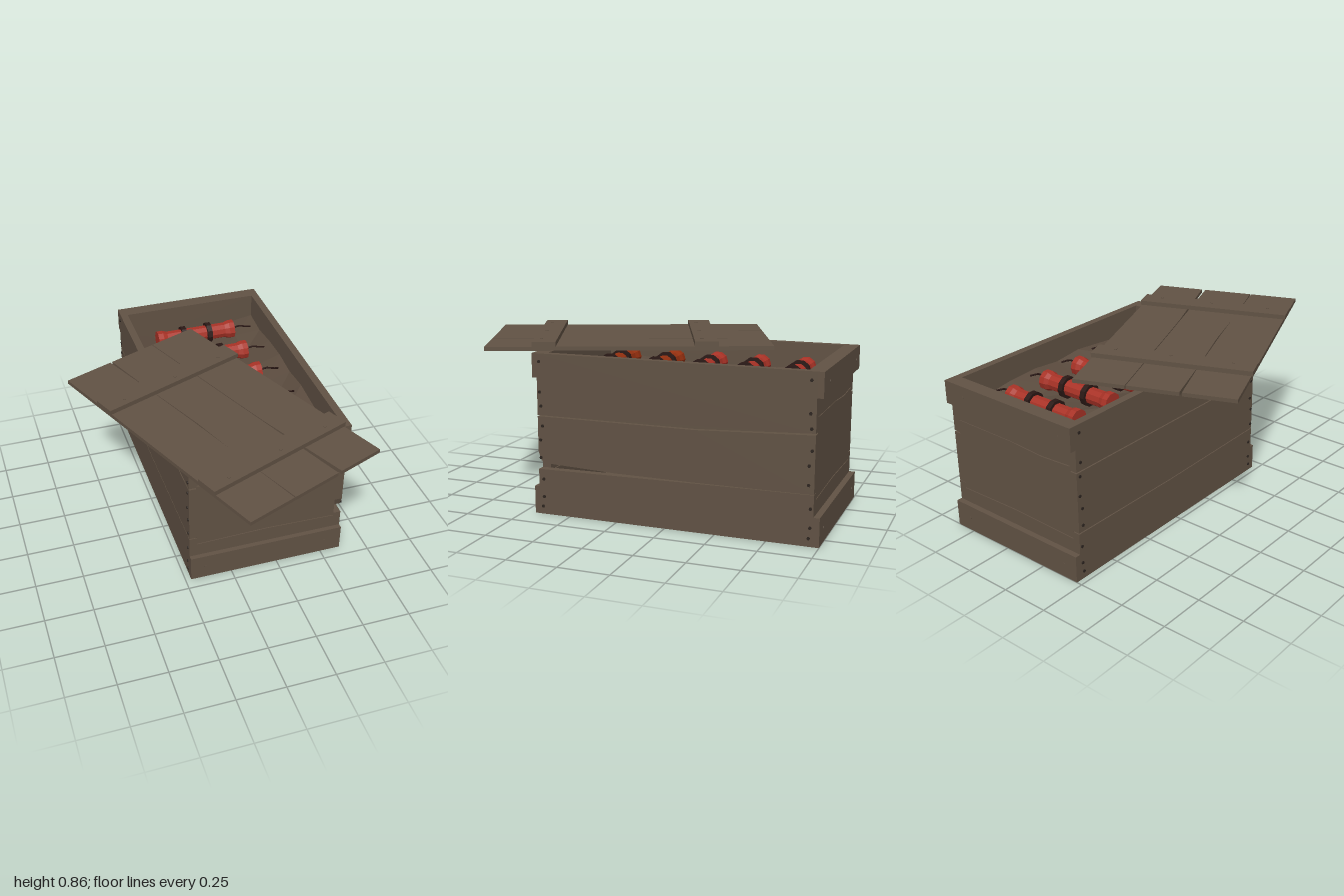
import * as THREE from 'three';

const mat = (name, color) => {
  const m = new THREE.MeshStandardMaterial({ color });
  m.name = name;
  return m;
};

export function createModel() {
  const wood = mat('weathered wood', 0x615244);
  const packing = mat('packing', 0x5a4b3e);
  const red = mat('red paper', 0xa83226);
  const orange = mat('orange red paper', 0x96300f);
  const dark = mat('dark strap', 0x2a1815);
  const iron = mat('nail iron', 0x2c241f);

  const root = new THREE.Group();
  root.name = 'openCrate';
  const group = (name, parent = root) => {
    const g = new THREE.Group();
    g.name = name;
    parent.add(g);
    return g;
  };
  const add = (parent, name, geo, material, x = 0, y = 0, z = 0) => {
    const m = new THREE.Mesh(geo, material);
    m.name = name;
    m.position.set(x, y, z);
    parent.add(m);
    return m;
  };
  const box = (parent, name, x0, x1, y0, y1, z0, z1) =>
    add(parent, name, new THREE.BoxGeometry(x1 - x0, y1 - y0, z1 - z0), wood,
      (x0 + x1) / 2, (y0 + y1) / 2, (z0 + z1) / 2);
  const slab = (pts, depth) => new THREE.ExtrudeGeometry(
    new THREE.Shape(pts.map(p => new THREE.Vector2(...p))), { depth, bevelEnabled: false });
  const flat = geo => {
    const g = geo.index ? geo.toNonIndexed() : geo;
    g.computeVertexNormals();
    return g;
  };

  const crate = group('crate');
  box(crate, 'floor', -0.215, 0.605, 0, 0.03, -0.97, 0.41);

  // Side planks, outlined in z and y, with uneven cracks between them
  const F = 0.415, B = -0.97;
  const rightPlanks = [
    [[B, 0], [F, 0], [F, 0.23], [-0.4, 0.24], [B, 0.245]],
    [[B, 0.247], [-0.4, 0.245], [0, 0.248], [0.36, 0.262], [0.4, 0.275], [F, 0.32], [F, 0.498], [-0.4, 0.498], [B, 0.522]],
    [[B, 0.53], [-0.4, 0.504], [F, 0.504], [F, 0.81], [B, 0.81]],
  ];
  const leftPlanks = [
    [[B, 0], [F, 0], [F, 0.255], [-0.3, 0.245], [B, 0.25]],
    [[B, 0.256], [-0.3, 0.25], [F, 0.26], [F, 0.58], [0, 0.565], [B, 0.57]],
    [[B, 0.576], [0, 0.571], [F, 0.588], [F, 0.81], [B, 0.81]],
  ];
  for (const [name, planks, x] of [['rightPlank', rightPlanks, 0.61], ['leftPlank', leftPlanks, -0.18]])
    for (const p of planks) add(crate, name, slab(p, 0.04).rotateY(-Math.PI / 2), wood, x);

  // End planks between the sides, with battens across top and bottom
  const L = -0.18, R = 0.57;
  const endPlanks = [
    [[L, 0], [R, 0], [R, 0.213], [0.2, 0.222], [L, 0.213]],
    [[L, 0.217], [0.2, 0.227], [R, 0.217], [R, 0.597], [0.2, 0.597], [0, 0.585], [L, 0.595]],
    [[L, 0.6], [0, 0.59], [0.2, 0.6], [R, 0.6], [R, 0.81], [L, 0.81]],
  ];
  for (const z of [0.37, -0.97])
    for (const p of endPlanks) add(crate, 'endPlank', slab(p, 0.045), wood, 0, 0, z);
  for (const [z0, z1] of [[0.415, 0.44], [-1, -0.97]])
    for (const [y0, y1] of [[0, 0.14], [0.69, 0.81]])
      box(crate, 'endBatten', -0.22, 0.61, y0, y1, z0, z1);

  // Nail heads on side planks and end battens
  const nails = group('nails', crate);
  const head = new THREE.CylinderGeometry(0.008, 0.008, 0.008, 6);
  const sideHead = head.clone().rotateZ(Math.PI / 2), endHead = head.clone().rotateX(Math.PI / 2);
  for (const x of [-0.221, 0.611])
    for (const z of [0.395, -0.95])
      for (const y of [0.04, 0.09, 0.18, 0.29, 0.38, 0.45, 0.55, 0.62, 0.77])
        add(nails, 'sideNail', sideHead, iron, x, y, z + (y * 100 % 3 - 1) * 0.006);
  for (const z of [0.438, -0.998])
    for (const [x, y] of [[-0.14, 0.745], [0.49, 0.75], [-0.14, 0.07], [0.52, 0.07]])
      add(nails, 'endNail', endHead, wood, x, y, z);

  // Lumpy packing under the sticks
  const fill = new THREE.PlaneGeometry(0.75, 1.305, 5, 8).rotateX(-Math.PI / 2);
  const pos = fill.attributes.position;
  for (let i = 0; i < pos.count; i++) {
    const x = pos.getX(i), z = pos.getZ(i);
    pos.setY(i, 0.022 * Math.sin(x * 17 + z * 5) * Math.cos(z * 9 - x * 4) + 0.3 * Math.max(0, Math.abs(x) - 0.25));
  }
  add(crate, 'packing', flat(fill), packing, 0.195, 0.642, -0.2825);

  // Sticks with flared ends, two straps and a bent fuse
  const profile = [[0, -0.225], [0.052, -0.225], [0.052, -0.195], [0.043, -0.17],
    [0.043, 0.17], [0.052, 0.195], [0.052, 0.225], [0, 0.225]].map(p => new THREE.Vector2(...p));
  const stickGeo = flat(new THREE.LatheGeometry(profile, 10).rotateZ(-Math.PI / 2));
  const strapGeo = flat(new THREE.CylinderGeometry(0.058, 0.058, 0.028, 10).rotateZ(Math.PI / 2));
  const fuseGeo = new THREE.TubeGeometry(new THREE.CatmullRomCurve3([
    new THREE.Vector3(0.22, 0, 0), new THREE.Vector3(0.265, 0.012, 0.004),
    new THREE.Vector3(0.3, 0.004, 0.008), new THREE.Vector3(0.335, -0.01, -0.006)]), 8, 0.005, 5);
  [-0.765, -0.53, -0.3, -0.065, 0.185].forEach((z, i) => {
    const stick = group('stick');
    stick.position.set(0.175, 0.71, z);
    add(stick, 'stickBody', stickGeo, i < 3 ? red : orange);
    for (const x of [-0.072, 0.075]) add(stick, 'strap', strapGeo, dark, x);
    add(stick, 'fuse', fuseGeo, dark);
  });

  // Lid lying askew: three planks and two battens
  const lid = group('lid');
  lid.position.set(0, 0.811, 0.175);
  lid.rotation.y = 0.385;
  const H = 0.713;
  const lidPlanks = [
    [[-0.407, -H], [-0.139, -H], [-0.133, -0.4], [-0.133, 0], [-0.145, H], [-0.407, H]],
    [[-0.127, -H], [0.137, -H], [0.132, 0], [0.13, H], [-0.139, H], [-0.139, 0.3], [-0.127, 0], [-0.131, -0.4]],
    [[0.141, -H], [0.407, -H], [0.407, H], [0.152, H], [0.136, 0.2], [0.136, 0]],
  ];
  for (const p of lidPlanks) add(lid, 'lidPlank', slab(p, 0.02).rotateX(Math.PI / 2), wood, 0, 0.02);
  for (const z of [-0.38, 0.42]) {
    box(lid, 'lidBatten', -0.415, 0.415, 0.02, 0.044, z - 0.058, z + 0.058);
    for (const x of [-0.3, 0.02, 0.31]) add(lid, 'lidNail', head, wood, x, 0.043, z + 0.02);
  }
  return root;
}
